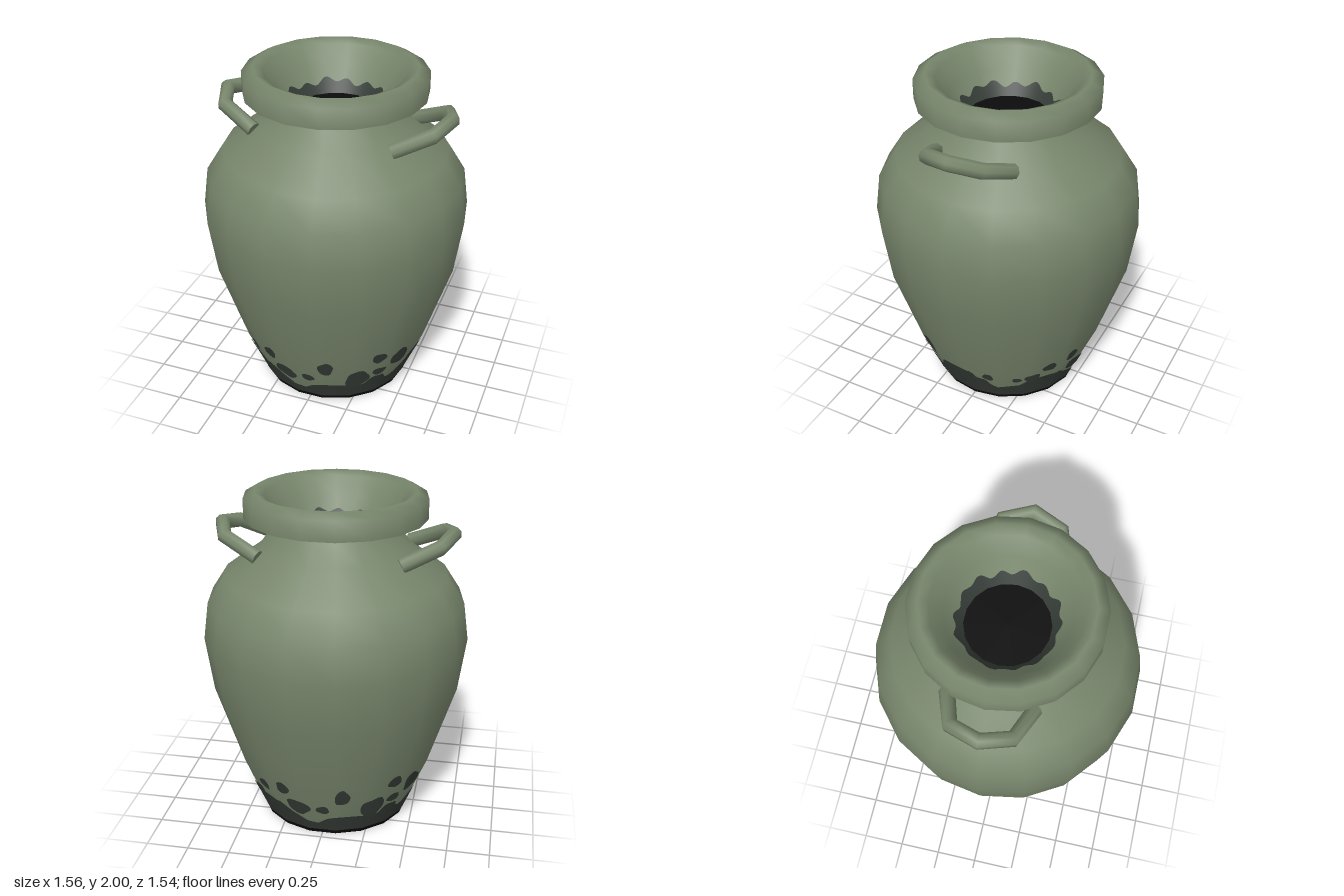
import * as THREE from 'three';

const SIDES = 18, STEP = Math.PI * 2 / SIDES;

// Relative radius of the 18-sided outline at angle a (0 = +x, turning toward +z)
function poly(a) {
  const m = ((a % STEP) + STEP) % STEP;
  return Math.cos(STEP / 2) / Math.cos(m - STEP / 2);
}

// Radius of the lower wall at height y
const wallRadius = y => (y < 0.3 ? 0.45 + 0.4167 * y : 0.575 + 0.3137 * (y - 0.3));

// Heights (degrees, y) of the soot edge over half a turn; it repeats on the other half
const EDGE = [
  [0, 0.27], [18, 0.26], [22, 0.2], [27, 0.14], [33, 0.13], [38, 0.2], [45, 0.2], [50, 0.14],
  [56, 0.13], [60, 0.15], [80, 0.155], [85, 0.14], [92, 0.09], [98, 0.1], [104, 0.125], [110, 0.15],
  [118, 0.21], [140, 0.21], [145, 0.15], [160, 0.13], [165, 0.15], [168, 0.2], [174, 0.21], [177, 0.27], [180, 0.27],
];

// Soot spots: angle in degrees, y, half width, half height
const SPOTS = [
  [127.3, 0.31, 0.045, 0.037], [112, 0.345, 0.042, 0.045], [104, 0.215, 0.075, 0.06],
  [88, 0.215, 0.04, 0.033], [76, 0.33, 0.045, 0.06], [56, 0.21, 0.075, 0.085],
  [44.5, 0.385, 0.045, 0.042], [29, 0.32, 0.065, 0.068], [42, 0.25, 0.045, 0.035],
  [166, 0.24, 0.035, 0.035], [147.5, 0.215, 0.03, 0.025], [137.5, 0.23, 0.05, 0.04],
];

function edgeHeight(a) {
  const d = (a * 180 / Math.PI) % 180;
  const i = Math.max(1, EDGE.findIndex(e => e[0] >= d));
  const [d0, y0] = EDGE[i - 1], [d1, y1] = EDGE[i];
  return y0 + (y1 - y0) * (d - d0) / (d1 - d0);
}

function lathe(points) {
  return new THREE.LatheGeometry(points.map(p => new THREE.Vector2(...p)), SIDES, Math.PI / 2);
}

// Thin ring between two [radius, y] edges that may vary with the angle
function band(lo, hi, offset = 0.004) {
  const pos = [], nor = [], idx = [], n = 180;
  for (let i = 0; i <= n; i++) {
    const a = i / n * Math.PI * 2, c = Math.cos(a), s = Math.sin(a), k = poly(a);
    const p = lo(a), q = hi(a);
    const len = Math.hypot(q[0] - p[0], q[1] - p[1]);
    const nr = (q[1] - p[1]) / len, ny = -(q[0] - p[0]) / len;
    for (const [r, y] of [p, q]) {
      const rr = r * k + nr * offset;
      pos.push(rr * c, y + ny * offset, rr * s);
      nor.push(nr * c, ny, nr * s);
    }
    if (i < n) {
      const b = i * 2;
      idx.push(b, b + 1, b + 2, b + 1, b + 3, b + 2);
    }
  }
  const g = new THREE.BufferGeometry();
  g.setAttribute('position', new THREE.Float32BufferAttribute(pos, 3));
  g.setAttribute('normal', new THREE.Float32BufferAttribute(nor, 3));
  g.setIndex(idx);
  return g;
}

// Irregular disc wrapped on the lower wall
function spot(angle, y0, hw, hh) {
  const g = new THREE.RingGeometry(0.001, 1, 20, 4);
  const p = g.attributes.position, n = g.attributes.normal;
  for (let i = 0; i < p.count; i++) {
    const t = Math.atan2(p.getY(i), p.getX(i));
    const wob = 1 + 0.08 * Math.sin(3 * t + angle * 9) + 0.04 * Math.sin(5 * t + y0 * 40);
    const y = y0 + p.getY(i) * hh * wob;
    const a = angle - p.getX(i) * hw * wob / wallRadius(y0);
    const r = wallRadius(y) * poly(a) + 0.006;
    p.setXYZ(i, r * Math.cos(a), y, r * Math.sin(a));
    n.setXYZ(i, 0.94 * Math.cos(a), -0.34, 0.94 * Math.sin(a));
  }
  return g;
}

function makeHandle(material) {
  const handle = new THREE.Group();
  const pts = [
    [0.405, 1.647, 0.237], [0.61, 1.74, 0.165], [0.67, 1.772, 0], [0.61, 1.74, -0.165], [0.405, 1.647, -0.237],
  ].map(p => new THREE.Vector3(...p));
  const path = new THREE.CatmullRomCurve3(pts);
  // Step exactly from bend to bend
  path.getPointAt = (t, v) => path.getPoint(t, v);
  path.getTangentAt = (t, v) => path.getTangent(t, v);
  const loop = new THREE.Mesh(new THREE.TubeGeometry(path, 4, 0.044, 8), material);
  loop.name = 'handleLoop';
  handle.add(loop);
  for (const t of [0, 1]) {
    const cap = new THREE.Mesh(new THREE.CircleGeometry(0.044, 8), material);
    const dir = path.getTangent(t).multiplyScalar(t ? 1 : -1);
    cap.position.copy(path.getPoint(t));
    cap.quaternion.setFromUnitVectors(new THREE.Vector3(0, 0, 1), dir);
    cap.name = 'handleEnd';
    handle.add(cap);
  }
  return handle;
}

export function createModel() {
  const model = new THREE.Group();
  model.name = 'jar';
  const mat = (name, color) => {
    const m = new THREE.MeshStandardMaterial({ color });
    m.name = name;
    return m;
  };
  const green = mat('sage green glaze', 0x78866c);
  const soot = mat('dark soot', 0x353c37);
  const black = mat('black', 0x0b0b0b);
  const add = (name, geometry, material) => {
    const m = new THREE.Mesh(geometry, material);
    m.name = name;
    model.add(m);
    return m;
  };

  // Body and neck
  add('body', lathe([
    [0.45, 0], [0.575, 0.3], [0.735, 0.81], [0.78, 1.14], [0.75, 1.36],
    [0.65, 1.515], [0.44, 1.67], [0.35, 1.79], [0.345, 1.81],
  ]), green);
  // Rim: underside, outer wall with rounded top, funnel inside
  add('rimUnderside', lathe([[0.34, 1.804], [0.525, 1.85]]), green);
  add('rim', lathe([
    [0.525, 1.85], [0.525, 1.965], [0.46, 2], [0.405, 1.975], [0.34, 1.87], [0.24, 1.73],
  ]), green);

  // Mouth opening with its ragged dark ring
  const mouth = add('mouthHole', new THREE.CircleGeometry(0.241, SIDES), black);
  mouth.rotation.x = -Math.PI / 2;
  mouth.position.y = 1.733;
  const ragged = a => 0.009 * Math.sin(14 * a) + 0.006 * Math.sin(6 * a + 1);
  const funnel = r => [r, 1.73 + 1.4 * (r - 0.24)];
  add('mouthSoot', band(a => funnel(0.285 + ragged(a)), () => funnel(0.24)), soot);

  // Soot and black edge under the rim
  const under = r => [r, 1.804 + (r - 0.34) * 0.2486];
  add('rimSoot', band(a => under(0.385 + ragged(a)), () => under(0.47)), soot);
  add('rimShadowRing', band(() => under(0.465), () => under(0.525), 0.005), black);

  // Base: black foot line, soot band, spots and floor
  add('footLine', band(() => [wallRadius(0.002), 0.002], () => [wallRadius(0.03), 0.03], 0.005), black);
  add('baseSoot', band(() => [wallRadius(0.02), 0.02], a => [wallRadius(edgeHeight(a)), edgeHeight(a)]), soot);
  for (const [deg, y, hw, hh] of SPOTS) {
    for (const turn of [0, 180]) {
      add('sootSpot', spot((deg + turn) * Math.PI / 180, y, hw, hh), soot);
    }
  }
  const floor = add('floor', new THREE.CircleGeometry(0.451, SIDES), soot);
  floor.rotation.x = Math.PI / 2;

  // Handles on both shoulders
  for (const [name, turn] of [['leftHandle', 0], ['rightHandle', Math.PI]]) {
    const handle = makeHandle(green);
    handle.name = name;
    handle.rotation.y = turn;
    model.add(handle);
  }
  return model;
}
